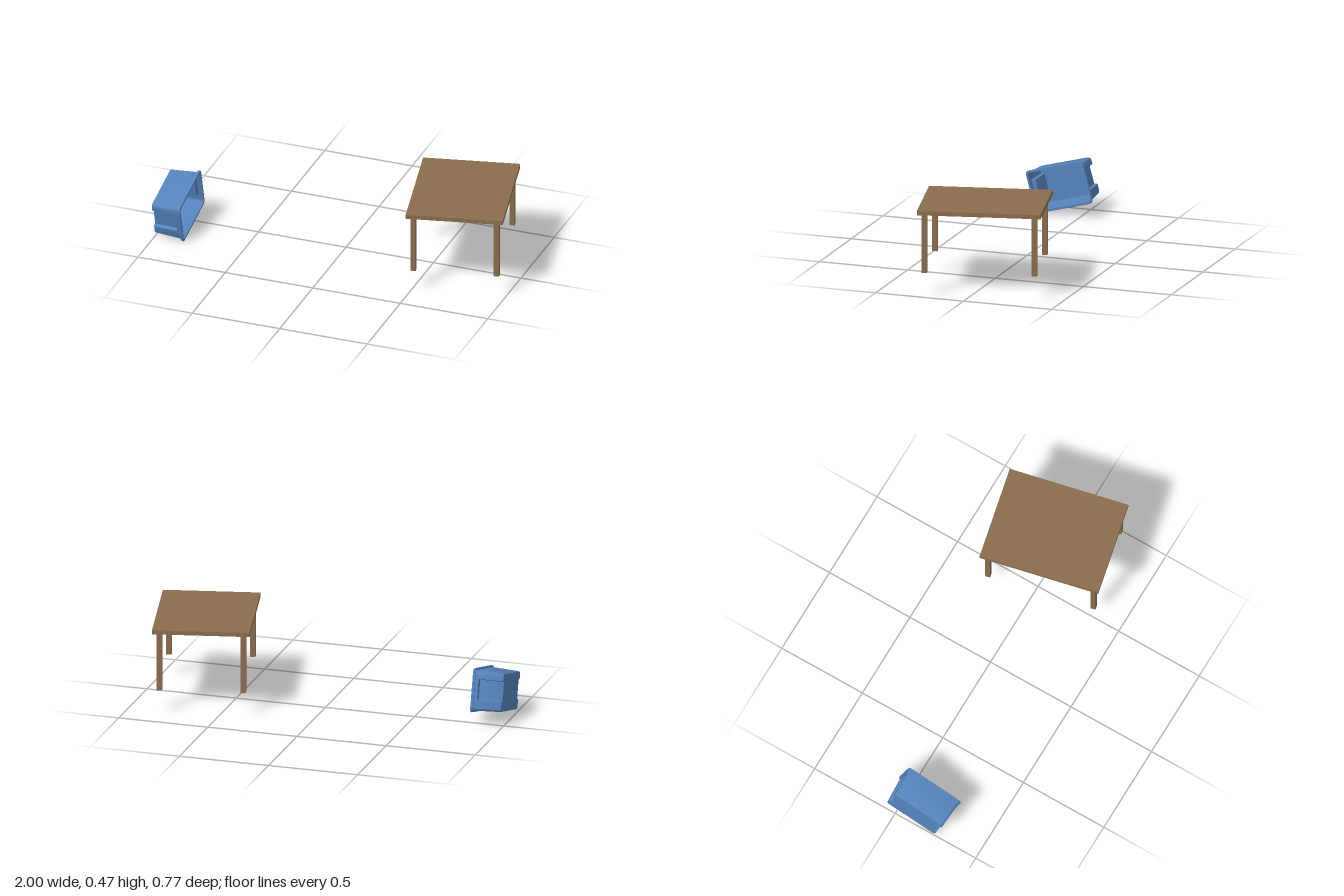
import * as THREE from 'three';
import { toCreasedNormals } from 'three/addons/utils/BufferGeometryUtils.js';

const wood = new THREE.MeshStandardMaterial({ color: 0x8b6d4d });
wood.name = 'brown wood';
const plastic = new THREE.MeshStandardMaterial({ color: 0x5584bc });
plastic.name = 'blue plastic';

// Rounded rectangle with a handle notch of the given depth in both short ends
function section(w, h, r, notch, d) {
  const hw = w / 2, hh = h / 2, pts = [];
  const corner = (cx, cy, start) => {
    for (let i = 0; i <= 5; i++) {
      const a = start + (i / 5) * Math.PI / 2;
      pts.push([cx + r * Math.cos(a), cy + r * Math.sin(a), d]);
    }
  };
  const end = (side) => {
    for (const [v, inset] of [[-0.056, 0], [-0.052, notch], [0.052, notch], [0.056, 0]]) {
      pts.push([side * (hw - inset), side * v + 0.007, d]);
    }
  };
  end(1);
  corner(hw - r, hh - r, 0);
  corner(-hw + r, hh - r, Math.PI / 2);
  end(-1);
  corner(-hw + r, -hh + r, Math.PI);
  corner(hw - r, -hh + r, Math.PI * 1.5);
  return pts;
}

// Skin consecutive loops and close the first and last with fans
function loft(loops) {
  const n = loops[0].length, pos = loops.flat(2), index = [];
  loops.slice(1).forEach((_, i) => {
    for (let j = 0; j < n; j++) {
      const k = (j + 1) % n, a = i * n + j, b = i * n + k;
      index.push(a, b, b + n, a, b + n, a + n);
    }
  });
  const last = (loops.length - 1) * n, c0 = loops.length * n;
  pos.push(0, 0, loops[0][0][2], 0, 0, loops[loops.length - 1][0][2]);
  for (let j = 0; j < n; j++) {
    const k = (j + 1) % n;
    index.push(c0, k, j, c0 + 1, last + j, last + k);
  }
  const g = new THREE.BufferGeometry();
  g.setAttribute('position', new THREE.Float32BufferAttribute(pos, 3));
  g.setIndex(index);
  return toCreasedNormals(g, 0.6);
}

function createTable() {
  const table = new THREE.Group();
  table.name = 'table';
  const box = (name, w, h, d, x, y, z) => {
    const m = new THREE.Mesh(new THREE.BoxGeometry(w, h, d), wood);
    m.name = name;
    m.position.set(x, y, z);
    table.add(m);
  };
  box('tableTop', 0.524, 0.023, 0.667, 0, 0.4615, 0);
  for (const sx of [-1, 1]) {
    for (const sz of [-1, 1]) {
      box('tableLeg', 0.029, 0.324, 0.029, sx * 0.225, 0.288, sz * 0.296);
    }
  }
  table.position.set(0.668, 0, -0.001);
  table.rotation.y = 0.221;
  return table;
}

function createBin() {
  // Outside wall upward, over the rim, then down the inside to the floor
  const loops = [
    section(0.302, 0.201, 0.016, 0.018, 0),
    section(0.306, 0.205, 0.018, 0.018, 0.003),
    section(0.319, 0.217, 0.018, 0.021, 0.132),
    section(0.319, 0.217, 0.018, 0, 0.135),
    section(0.322, 0.22, 0.018, 0, 0.153),
    section(0.334, 0.235, 0.02, 0, 0.153),
    section(0.337, 0.238, 0.02, 0, 0.164),
    section(0.333, 0.234, 0.018, 0, 0.167),
    section(0.313, 0.212, 0.014, 0, 0.167),
    section(0.309, 0.207, 0.014, 0, 0.141),
    section(0.309, 0.207, 0.014, 0.021, 0.138),
    section(0.295, 0.194, 0.013, 0.018, 0.006),
  ];
  const shell = new THREE.Mesh(loft(loops), plastic);
  shell.name = 'binShell';
  const bin = new THREE.Group();
  bin.name = 'storageBin';
  bin.add(shell);
  // Lies on its side, opening toward +x, tilted on one corner
  bin.rotation.set(0, Math.PI / 2, Math.PI / 12);
  bin.position.set(-1, 0.154, 0.121);
  return bin;
}

export function createModel() {
  const model = new THREE.Group();
  model.name = 'tableAndBin';
  model.add(createTable(), createBin());
  return model;
}
